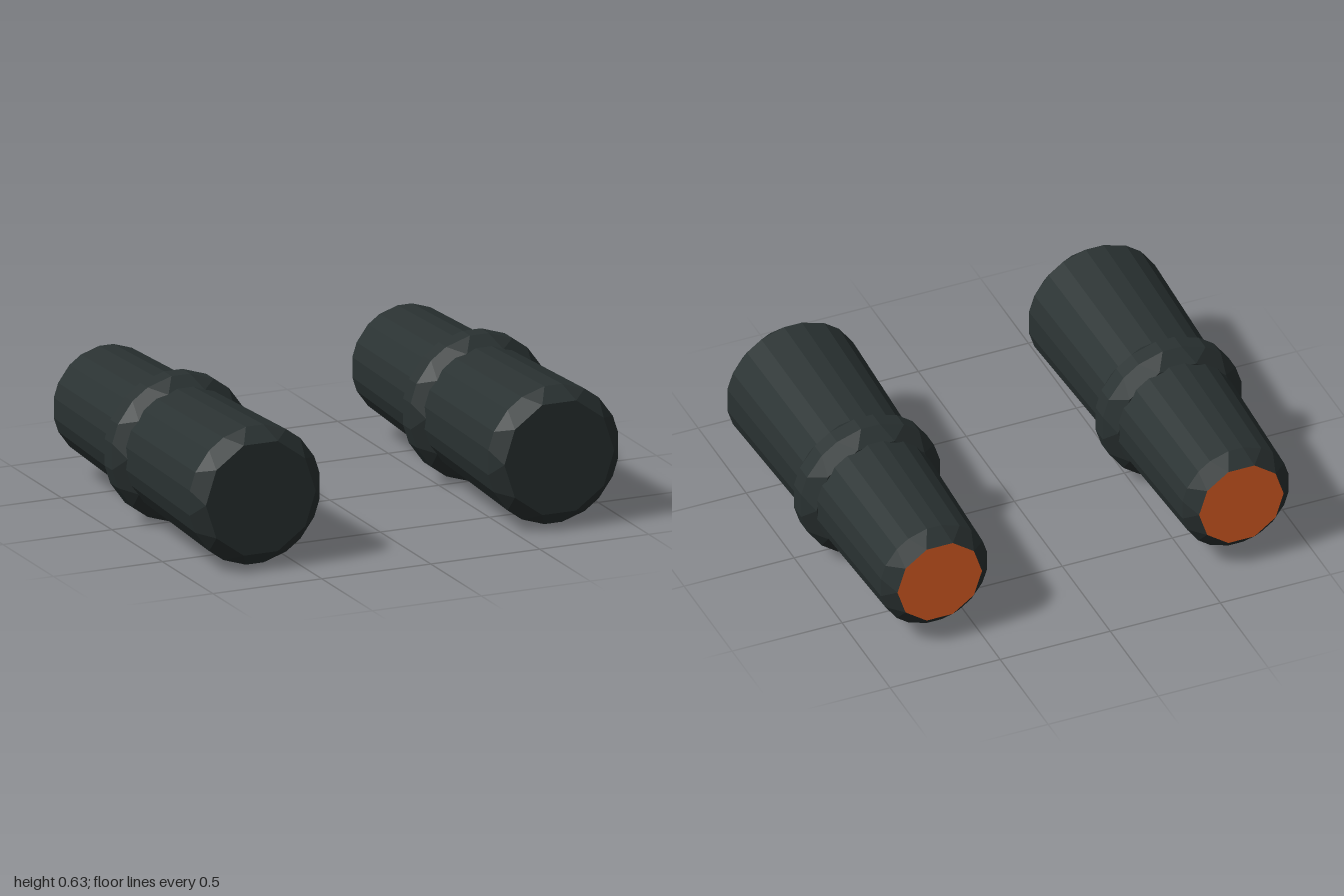
import * as THREE from 'three';

const shell = new THREE.MeshStandardMaterial({ color: 0x2a3232, flatShading: true });
shell.name = 'dark shell';
const glow = new THREE.MeshStandardMaterial({ color: 0xe56126, flatShading: true });
glow.name = 'orange end';

const SIDES = 10;
const STEP = (Math.PI * 2) / SIDES;
const BEVEL = THREE.MathUtils.degToRad(10.3); // half angle of each cut corner

// Decagon with cut corners; bevel 0 closes the corners to points
function section(z, r, bevel) {
  const pts = [];
  for (let i = 0; i < SIDES; i++) {
    for (const s of [-1, 1]) {
      const a = i * STEP + s * bevel;
      pts.push(new THREE.Vector3(Math.cos(a) * r, Math.sin(a) * r, z));
    }
  }
  return pts;
}

// Skin between sections listed from front to back
function loft(sections) {
  const pos = [];
  const tri = (a, b, c) => {
    const area = b.clone().sub(a).cross(c.clone().sub(a)).length();
    if (area > 1e-8) for (const p of [a, b, c]) pos.push(p.x, p.y, p.z);
  };
  for (let k = 0; k < sections.length - 1; k++) {
    const f = sections[k], b = sections[k + 1];
    for (let i = 0; i < f.length; i++) {
      const j = (i + 1) % f.length;
      tri(f[i], b[i], b[j]);
      tri(f[i], b[j], f[j]);
    }
  }
  const geo = new THREE.BufferGeometry();
  geo.setAttribute('position', new THREE.Float32BufferAttribute(pos, 3));
  geo.computeVertexNormals();
  return geo;
}

function part(name, geo, mat) {
  const mesh = new THREE.Mesh(geo, mat);
  mesh.name = name;
  return mesh;
}

// Flat decagon closing an end
function cap(name, r, z, back, mat) {
  const mesh = part(name, new THREE.CircleGeometry(r, SIDES), mat);
  mesh.position.z = z;
  if (back) mesh.rotation.y = Math.PI;
  return mesh;
}

function createPod(name) {
  const pod = new THREE.Group();
  pod.name = name;

  // Tapered barrel with chamfered ends
  pod.add(part('barrel', loft([
    section(0.795, 0.252, 0),
    section(0.735, 0.303, BEVEL),
    section(-0.735, 0.245, BEVEL),
    section(-0.795, 0.192, 0),
  ]), shell));
  pod.add(cap('frontCap', 0.252, 0.795, false, shell));
  pod.add(cap('rearCap', 0.192, -0.795, true, glow));

  // Raised collar around the middle
  pod.add(part('collar', loft([
    section(0.062, 0.271, 0),
    section(0.002, 0.32, BEVEL),
    section(-0.073, 0.32, BEVEL),
    section(-0.133, 0.271, 0),
  ]), shell));
  pod.add(cap('collarFront', 0.271, 0.062, false, shell));
  pod.add(cap('collarBack', 0.271, -0.133, true, shell));
  return pod;
}

export function createModel() {
  const model = new THREE.Group();
  model.name = 'twinPods';
  for (const side of [1, -1]) {
    const pod = createPod(side > 0 ? 'leftPod' : 'rightPod');
    pod.position.set(side * 0.685, 0.318, 0);
    model.add(pod);
  }
  return model;
}
